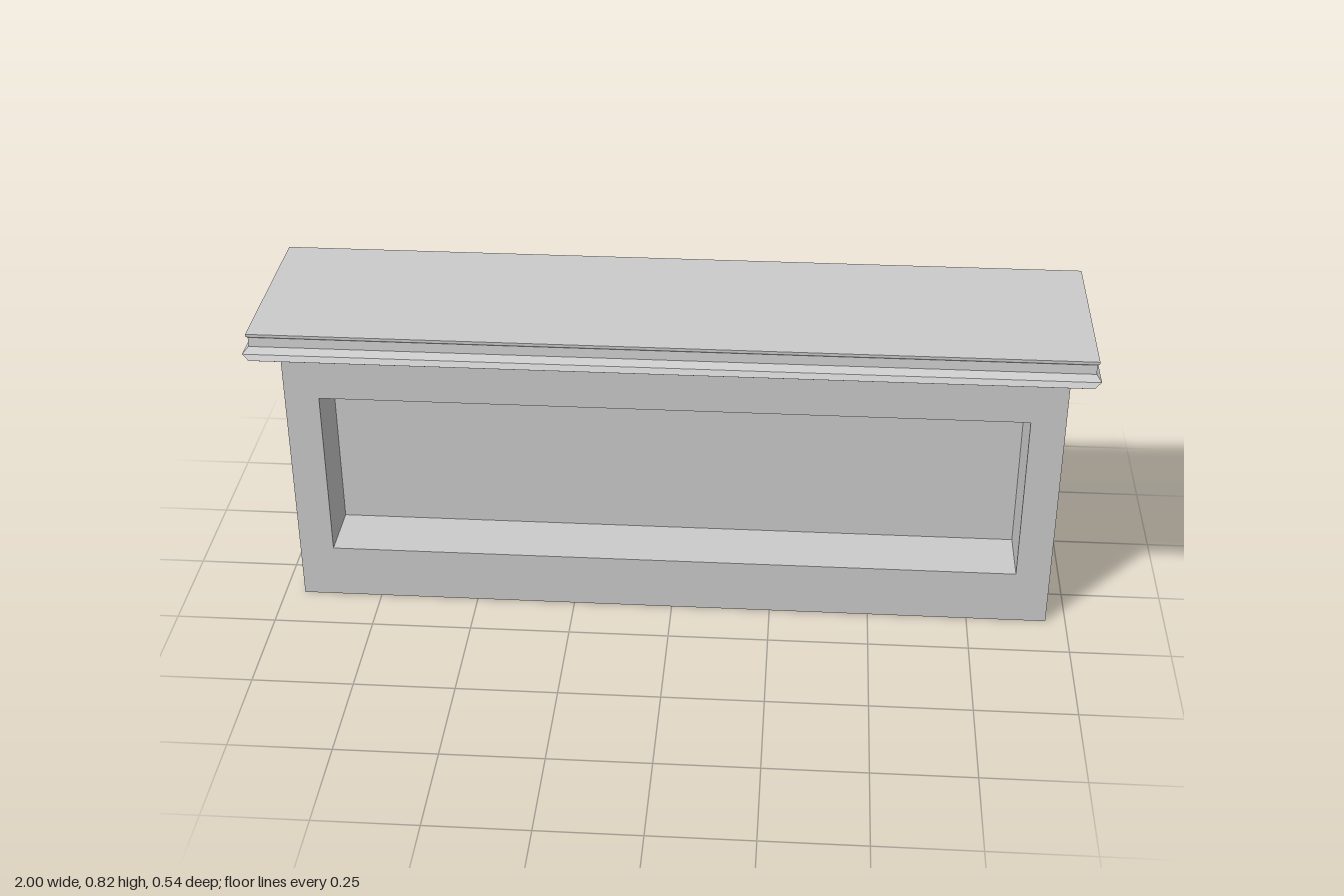
import * as THREE from 'three';

const BACK = -0.229, FRONT = 0.121, HALF = 0.95, BODY_TOP = 0.745, RECESS = 0.157;

// Rectangular rings [y, half width, front z, back z] stacked into a mitred slab
function mitredSlab(rings) {
  const corners = rings.map(([y, x, f, b]) => [[-x, y, f], [x, y, f], [x, y, b], [-x, y, b]]);
  const pos = [];
  const quad = (a, b, c, d) => pos.push(...a, ...b, ...c, ...a, ...c, ...d);
  for (let i = 0; i < corners.length - 1; i++) {
    const lo = corners[i], hi = corners[i + 1];
    for (let k = 0; k < 4; k++) {
      const n = (k + 1) % 4;
      quad(lo[k], lo[n], hi[n], hi[k]);
    }
  }
  quad(...corners[corners.length - 1]);
  quad(...[...corners[0]].reverse());
  const g = new THREE.BufferGeometry();
  g.setAttribute('position', new THREE.Float32BufferAttribute(pos, 3));
  g.computeVertexNormals();
  return g;
}

function rectPath(path, x, y0, y1) {
  path.moveTo(-x, y0);
  path.lineTo(x, y0);
  path.lineTo(x, y1);
  path.lineTo(-x, y1);
  path.closePath();
  return path;
}

export function createModel() {
  const group = new THREE.Group();
  const material = new THREE.MeshStandardMaterial({ color: 0xcccccc });
  const add = (name, geometry) => {
    const mesh = new THREE.Mesh(geometry, material);
    mesh.name = name;
    group.add(mesh);
    return mesh;
  };

  // Front frame around the recessed panel
  const frame = rectPath(new THREE.Shape(), HALF, 0, BODY_TOP);
  frame.holes.push(rectPath(new THREE.Path(), 0.865, 0.14, 0.58));
  add('frontFrame', new THREE.ExtrudeGeometry(frame, { depth: RECESS, bevelEnabled: false }))
    .position.z = FRONT - RECESS;

  // Solid body behind the recess
  const depth = FRONT - RECESS - BACK;
  add('body', new THREE.BoxGeometry(HALF * 2, BODY_TOP, depth))
    .position.set(0, BODY_TOP / 2, BACK + depth / 2);

  // Moulding along the back, its (-z, y) profile swept across x
  const profile = new THREE.Shape([
    [0.22, 0.587], [0.229, 0.587], [0.247, 0.593], [0.252, 0.602],
    [0.255, 0.614], [0.229, 0.622], [0.22, 0.622],
  ].map(([z, y]) => new THREE.Vector2(z, y)));
  const moulding = add('backMoulding',
    new THREE.ExtrudeGeometry(profile, { depth: HALF * 2, bevelEnabled: false }));
  moulding.rotation.y = Math.PI / 2;
  moulding.position.x = -HALF;

  // Countertop with its stepped edge
  add('countertop', mitredSlab([
    [0.745, 0.978, 0.240, -0.229],
    [0.760, 0.985, 0.248, -0.253],
    [0.763, 0.985, 0.272, -0.272],
    [0.770, 0.992, 0.269, -0.263],
    [0.777, 1.000, 0.266, -0.272],
    [0.784, 0.990, 0.240, -0.248],
    [0.807, 0.990, 0.238, -0.231],
    [0.810, 0.995, 0.240, -0.231],
    [0.816, 0.995, 0.240, -0.231],
  ]));

  return group;
}
